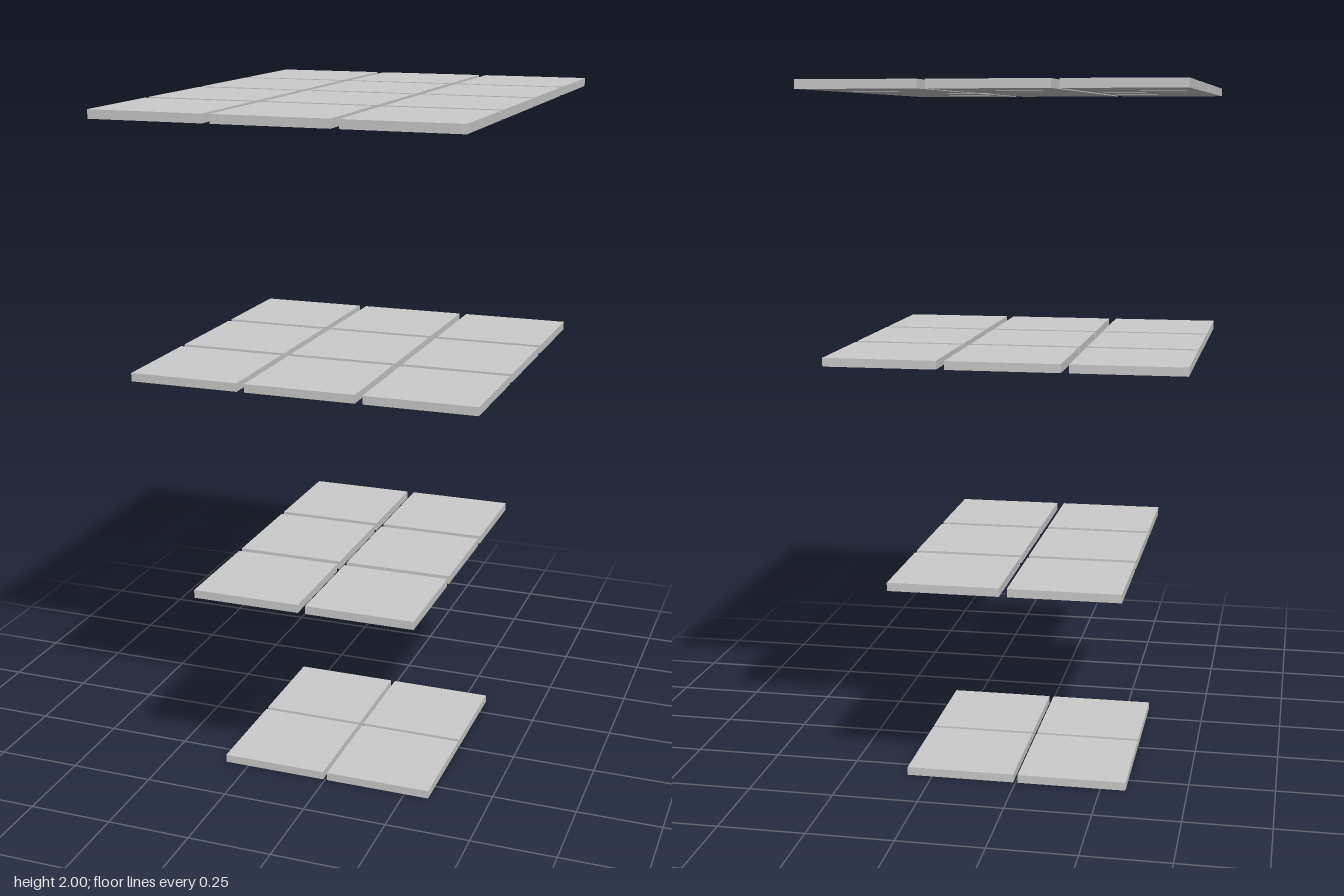
import * as THREE from 'three';

const TILE = 0.317;
const THICK = 0.024;

// Each floating layer: base height, tile counts along x and z, centre spacing
const LAYERS = [
  { name: 'bottomLayer', y: 0, nx: 2, nz: 2, pitch: 0.33 },
  { name: 'lowerLayer', y: 0.617, nx: 2, nz: 3, pitch: 0.339 },
  { name: 'upperLayer', y: 1.242, nx: 3, nz: 3, pitch: 0.339 },
  { name: 'topLayer', y: 2 - THICK, nx: 3, nz: 4, pitch: 0.339 },
];

export function createModel() {
  const model = new THREE.Group();
  model.name = 'tileLayers';
  const material = new THREE.MeshStandardMaterial({ color: 0xcccccc });
  const tileGeometry = new THREE.BoxGeometry(TILE, THICK, TILE);

  for (const { name, y, nx, nz, pitch } of LAYERS) {
    const layer = new THREE.Group();
    layer.name = name;
    layer.position.y = y + THICK / 2;

    // Grid of square tiles centred on the axis
    for (let i = 0; i < nx; i++) {
      for (let k = 0; k < nz; k++) {
        const tile = new THREE.Mesh(tileGeometry, material);
        tile.name = 'tile';
        tile.position.set((i - (nx - 1) / 2) * pitch, 0, (k - (nz - 1) / 2) * pitch);
        layer.add(tile);
      }
    }
    model.add(layer);
  }
  return model;
}
